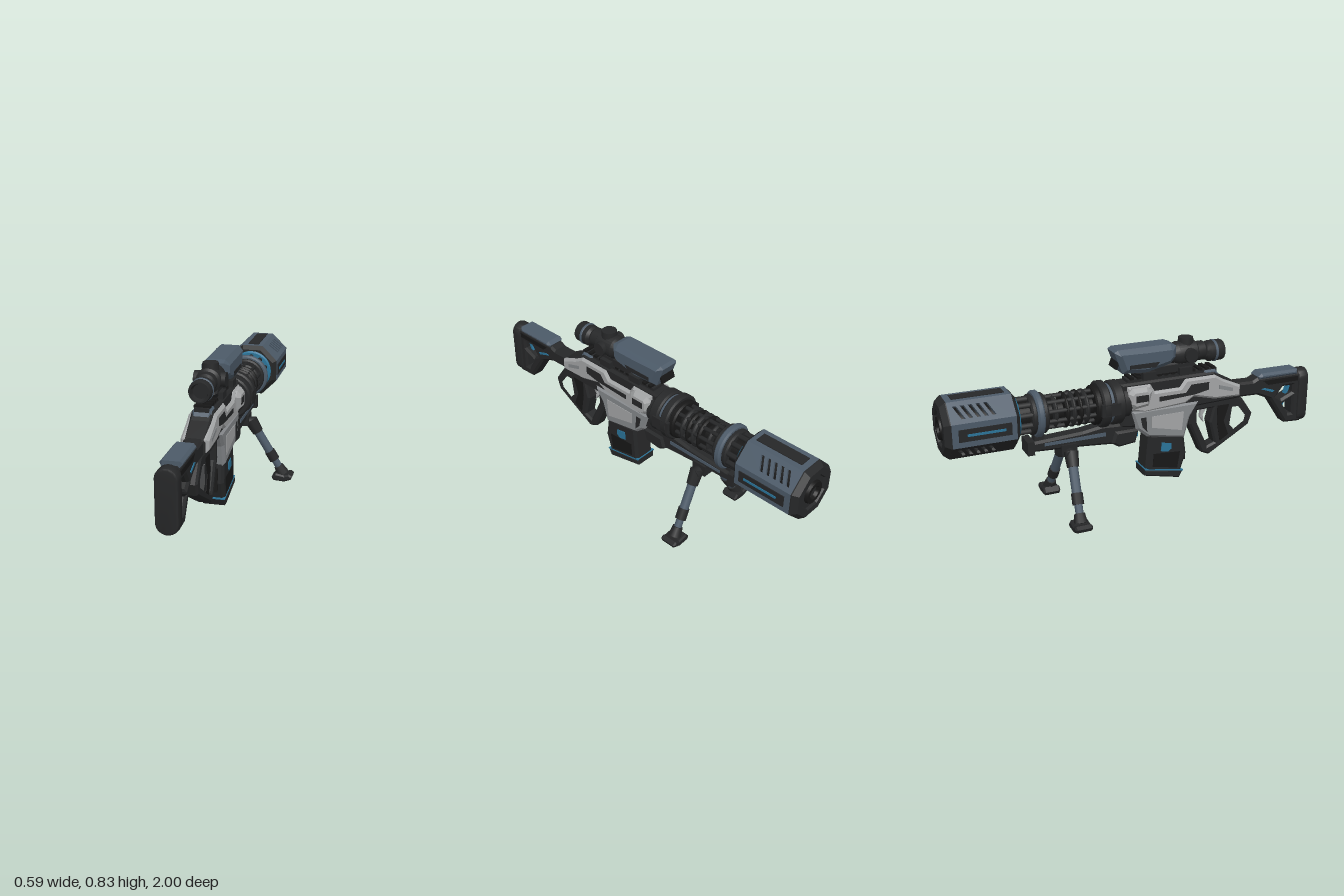
import * as THREE from 'three';
import { toCreasedNormals } from 'three/addons/utils/BufferGeometryUtils.js';

const paint = (name, color) => Object.assign(new THREE.MeshStandardMaterial({ color }), { name });
const dark = paint('charcoal', 0x262728);
const black = paint('black', 0x171717);
const slate = paint('slate blue', 0x4c5a68);
const light = paint('light grey', 0xa3a5a6);
const grey = paint('mid grey', 0x85888b);
const blue = paint('accent blue', 0x2b7499);

const AXIS = 0.545; // barrel centre height

export function createModel() {
  const root = new THREE.Group();
  root.name = 'rifle';

  const add = (name, geo, mat, parent = root) => {
    const m = new THREE.Mesh(geo, mat);
    m.name = name;
    parent.add(m);
    return m;
  };
  const box = (name, w, h, d, x, y, z, mat) => {
    const m = add(name, new THREE.BoxGeometry(w, h, d), mat);
    m.position.set(x, y, z);
    return m;
  };
  const outline = (pts, holes = []) => {
    const s = new THREE.Shape(pts.map(p => new THREE.Vector2(...p)));
    s.holes = holes.map(h => new THREE.Path(h.map(p => new THREE.Vector2(...p))));
    return s;
  };
  // Side profile in (z, y), extruded across x with chamfered edges
  const side = (name, pts, width, mat, bevel = 0.01, holes = [], x = 0) => {
    const g = new THREE.ExtrudeGeometry(outline(pts, holes), {
      depth: width - 2 * bevel, bevelEnabled: bevel > 0, bevelSize: bevel,
      bevelThickness: bevel, bevelOffset: -bevel, bevelSegments: 1,
    });
    g.translate(0, 0, bevel - width / 2).rotateY(-Math.PI / 2).translate(x, 0, 0);
    return add(name, g, mat);
  };
  const bothSides = (name, pts, x, mat) => {
    for (const s of [-1, 1]) side(name, pts, 0.006, mat, 0, [], s * x);
  };
  // Turned part along z; profile is [z, radius] from rear to muzzle
  const turned = (name, profile, mat, y = AXIS, sides = 28) => {
    const g = new THREE.LatheGeometry(profile.map(([z, r]) => new THREE.Vector2(r, -z)), sides);
    const m = add(name, toCreasedNormals(g.rotateX(-Math.PI / 2), 0.5), mat);
    m.position.y = y;
    return m;
  };
  // Chamfered closed ring
  const ring = (name, z0, z1, r, mat, y = AXIS, c = 0.008) =>
    turned(name, [[z0, 0], [z0, r - c], [z0 - c, r], [z1 + c, r], [z1, r - c], [z1, 0]], mat, y);
  const limb = (name, a, b, r0, r1, mat, sides = 10) => {
    const p = new THREE.Vector3(...a), q = new THREE.Vector3(...b);
    const m = add(name, new THREE.CylinderGeometry(r1, r0, p.distanceTo(q), sides), mat);
    m.position.copy(p).add(q).multiplyScalar(0.5);
    m.quaternion.setFromUnitVectors(new THREE.Vector3(0, 1, 0), q.sub(p).normalize());
    return m;
  };

  // Stock
  side('stock', [[0.97, 0.57], [0.69, 0.57], [0.66, 0.555], [0.5, 0.56], [0.5, 0.48], [0.69, 0.475],
    [0.77, 0.44], [0.87, 0.29], [0.97, 0.285]], 0.085, dark, 0.012,
  [[[0.91, 0.5], [0.85, 0.5], [0.81, 0.45], [0.84, 0.43], [0.91, 0.46]],
    [[0.91, 0.43], [0.85, 0.4], [0.89, 0.34], [0.91, 0.34]]]);
  bothSides('stockTrim', [[0.78, 0.48], [0.79, 0.49], [0.73, 0.51], [0.71, 0.505]], 0.043, blue);
  bothSides('stockPanel', [[0.935, 0.55], [0.72, 0.55], [0.75, 0.525], [0.935, 0.525]], 0.043, black);
  box('stockSlits', 0.03, 0.15, 0.012, 0, 0.42, 0.875, blue).rotation.x = 0.35;
  side('cheekRest', [[0.93, 0.59], [0.71, 0.592], [0.69, 0.575], [0.7, 0.56], [0.93, 0.56]], 0.1, slate, 0.012);
  // Butt pad with rounded ends
  const pad = new THREE.Shape();
  pad.absarc(0, 0.53, 0.053, 0, Math.PI);
  pad.absarc(0, 0.335, 0.053, Math.PI, Math.PI * 2);
  const padGeo = new THREE.ExtrudeGeometry(pad, {
    depth: 0.04, bevelSize: 0.01, bevelThickness: 0.01, bevelOffset: -0.01, bevelSegments: 2,
  });
  add('buttPad', toCreasedNormals(padGeo, 0.5), dark).position.z = 0.95;

  // Receiver
  side('innerBody', [[0.58, 0.48], [0.58, 0.55], [0.47, 0.61], [0.42, 0.645], [-0.1, 0.645], [-0.1, 0.42],
    [0.05, 0.4], [0.3, 0.47]], 0.105, dark);
  side('receiverShell', [[0.57, 0.555], [0.47, 0.6], [0.42, 0.63], [0.25, 0.63], [0.22, 0.59], [0.08, 0.59],
    [0.055, 0.63], [-0.07, 0.63], [-0.07, 0.51], [0.02, 0.485], [0.25, 0.5], [0.3, 0.53], [0.42, 0.5], [0.57, 0.495]],
  0.135, light, 0.012);
  side('lowerReceiver', [[0.33, 0.5], [-0.05, 0.5], [-0.02, 0.4], [0.04, 0.35], [0.25, 0.31], [0.28, 0.42]],
    0.13, grey, 0.014);
  side('frontCheek', [[0.06, 0.6], [0.03, 0.625], [-0.05, 0.625], [-0.07, 0.6], [-0.07, 0.54], [-0.04, 0.515],
    [0.04, 0.525]], 0.185, light, 0.02);
  bothSides('cheekSlot', [[0.03, 0.59], [-0.035, 0.59], [-0.035, 0.555], [0.03, 0.555]], 0.091, dark);
  bothSides('ejectionPort', [[0.38, 0.6], [0.28, 0.6], [0.25, 0.56], [0.1, 0.56], [0.1, 0.535], [0.3, 0.545],
    [0.38, 0.56]], 0.067, dark);
  bothSides('rearSlot', [[0.52, 0.55], [0.44, 0.575], [0.44, 0.555], [0.52, 0.53]], 0.067, grey);
  bothSides('lowerPanel', [[0.24, 0.46], [0.06, 0.46], [0.06, 0.4], [0.23, 0.36]], 0.0645, light);
  bothSides('lowerEdge', [[0.03, 0.46], [0.0, 0.46], [0.01, 0.41], [0.035, 0.38]], 0.0645, dark);
  box('topRail', 0.07, 0.02, 0.5, 0, 0.65, 0.19, dark);
  for (let i = 0; i < 13; i++) box('railTooth', 0.08, 0.012, 0.02, 0, 0.664, 0.42 - i * 0.038, black);
  side('rearSight', [[0.46, 0.61], [0.43, 0.655], [0.37, 0.655], [0.35, 0.62]], 0.09, slate);

  // Grip, guard and trigger
  side('gripFrame', [[0.56, 0.49], [0.6, 0.47], [0.665, 0.375], [0.645, 0.315], [0.41, 0.18], [0.365, 0.2],
    [0.29, 0.37], [0.3, 0.5]], 0.075, dark, 0.01,
  [[[0.58, 0.44], [0.63, 0.375], [0.62, 0.335], [0.55, 0.29], [0.515, 0.33], [0.53, 0.44]],
    [[0.43, 0.44], [0.335, 0.44], [0.335, 0.37], [0.4, 0.23], [0.44, 0.245], [0.41, 0.36]]]);
  bothSides('gripPanel', [[0.52, 0.45], [0.45, 0.45], [0.45, 0.36], [0.47, 0.25], [0.52, 0.28], [0.49, 0.36]], 0.037, black);
  side('trigger', [[0.4, 0.44], [0.37, 0.44], [0.365, 0.39], [0.385, 0.36], [0.38, 0.4]], 0.025, light, 0.003);

  // Magazine
  side('magazine', [[0.25, 0.33], [0.05, 0.36], [0.03, 0.14], [0.225, 0.095], [0.265, 0.22]], 0.118, dark, 0.014);
  side('magazineBase', [[0.245, 0.13], [0.025, 0.17], [0.025, 0.135], [0.225, 0.09]], 0.124, dark, 0.008);
  side('magazineTrim', [[0.245, 0.133], [0.027, 0.173], [0.026, 0.167], [0.245, 0.127]], 0.122, blue, 0);
  bothSides('magazineWindow', [[0.175, 0.295], [0.12, 0.305], [0.115, 0.26], [0.155, 0.25], [0.175, 0.265]], 0.06, blue);
  bothSides('magazinePanel', [[0.225, 0.24], [0.075, 0.25], [0.07, 0.18], [0.21, 0.15]], 0.058, black);
  const rear = box('magazineRib', 0.06, 0.12, 0.008, 0, 0.235, 0.262, black);
  rear.rotation.x = -0.1;

  // Scope
  turned('eyepiece', [[0.455, 0], [0.455, 0.035], [0.48, 0.042], [0.48, 0.05], [0.47, 0.054], [0.4, 0.054],
    [0.385, 0.042], [0.3, 0.04]], dark, 0.745);
  ring('eyepieceBand', 0.445, 0.42, 0.057, slate, 0.745);
  turned('scopeTube', [[0.385, 0.036], [0.37, 0.048], [0.33, 0.048], [0.32, 0.06], [0.22, 0.06], [0.2, 0.05],
    [0.16, 0.05]], dark, 0.755);
  const turretY = add('topTurret', new THREE.CylinderGeometry(0.038, 0.042, 0.05, 14), dark);
  turretY.position.set(0, 0.81, 0.275);
  const turretX = add('sideTurrets', new THREE.CylinderGeometry(0.035, 0.035, 0.155, 14).rotateZ(Math.PI / 2), dark);
  turretX.position.set(0, 0.755, 0.275);
  side('scopeHood', [[0.2, 0.81], [0.17, 0.822], [-0.115, 0.822], [-0.132, 0.81], [-0.09, 0.7], [0.04, 0.69],
    [0.17, 0.72], [0.2, 0.75]], 0.14, slate, 0.025);
  bothSides('hoodPanel', [[0.1, 0.745], [-0.06, 0.745], [-0.06, 0.725], [0.08, 0.72]], 0.069, dark);
  box('objectiveLens', 0.085, 0.07, 0.012, 0, 0.757, -0.11, black).rotation.x = 0.36;
  side('scopeMount', [[0.3, 0.72], [-0.04, 0.71], [-0.02, 0.68], [0.06, 0.66], [0.28, 0.66], [0.32, 0.69]], 0.08, dark);
  for (const z of [0.25, 0.05]) box('mountClamp', 0.125, 0.035, 0.07, 0, 0.675, z, dark);

  // Barrel: rings, ribs and open rods around a thin core
  ring('barrelCore', 0, -0.7, 0.048, black);
  ring('rearSleeve', -0.05, -0.11, 0.085, dark);
  ring('rearCollar', -0.095, -0.15, 0.112, dark);
  ring('rearBand', -0.145, -0.175, 0.1, slate);
  ring('rearFlange', -0.17, -0.215, 0.118, dark);
  ring('rearStep', -0.21, -0.245, 0.1, black);
  for (let i = 0; i < 4; i++) ring('coolingRib', -0.275 - i * 0.034, -0.297 - i * 0.034, 0.09, i % 2 ? black : dark);
  ring('midBand', -0.435, -0.455, 0.085, dark);
  ring('frontFlange', -0.485, -0.515, 0.1, dark);
  ring('frontBand', -0.51, -0.545, 0.115, slate);
  ring('frontStep', -0.54, -0.57, 0.1, dark);
  ring('neck', -0.56, -0.66, 0.07, black);
  for (let i = 0; i < 10; i++) {
    const a = (i + 0.5) * Math.PI / 5, c = Math.cos(a), s = Math.sin(a);
    limb('barrelRod', [c * 0.077, AXIS + s * 0.077, -0.22], [c * 0.077, AXIS + s * 0.077, -0.5], 0.011, 0.011, dark, 6);
    limb('neckRod', [c * 0.082, AXIS + s * 0.082, -0.55], [c * 0.082, AXIS + s * 0.082, -0.65], 0.014, 0.014, dark, 6);
  }
  for (const s of [-1, 1]) box('barrelLug', 0.03, 0.06, 0.1, s * 0.1, AXIS, -0.175, dark);

  // Muzzle brake: eight plates with slanted vents around a core
  ring('muzzleCore', -0.64, -0.98, 0.085, black);
  ring('muzzleBand', -0.63, -0.647, 0.112, blue);
  const A = 0.14, W = A * Math.tan(Math.PI / 8);
  const vents = [0, 1, 2, 3, 4].map(i => {
    const v = 0.105 + i * 0.036;
    return [[-0.034, v], [0.034, v + 0.03], [0.034, v + 0.048], [-0.034, v + 0.018]];
  });
  for (let k = 0; k < 8; k++) {
    const face = new THREE.Group();
    face.name = 'muzzleFace';
    face.position.set(0, AXIS, -0.645);
    face.rotation.z = -k * Math.PI / 4;
    root.add(face);
    const plate = (name, pts, y, t, mat, holes) => add(name,
      new THREE.ExtrudeGeometry(outline(pts, holes), { depth: t, bevelEnabled: false })
        .rotateX(-Math.PI / 2).translate(0, y, 0), mat, face);
    const rect = (x, v0, v1) => [[-x, v0], [x, v0], [x, v1], [-x, v1]];
    const lower = k >= 3 && k <= 5;
    plate('muzzlePlate', rect(W, 0.015, 0.32), A - 0.014, 0.014, lower ? dark : slate, k % 2 ? vents : []);
    if (k % 2 === 0) {
      plate('muzzlePanel', rect(0.03, 0.04, 0.29), A, 0.004, lower ? black : dark);
      if (!lower && k) plate('muzzleStripe', rect(0.006, 0.07, 0.25), A + 0.004, 0.003, blue);
    }
  }
  const octagon = (name, profile, mat) => {
    const g = new THREE.LatheGeometry(profile.map(([z, r]) => new THREE.Vector2(r / Math.cos(Math.PI / 8), -z)), 8, Math.PI / 8);
    add(name, toCreasedNormals(g.rotateX(-Math.PI / 2), 0.3), mat).position.y = AXIS;
  };
  octagon('muzzleRearCap', [[-0.64, 0], [-0.64, 0.118], [-0.66, A - 0.001], [-0.672, A - 0.001], [-0.672, 0]], dark);
  octagon('muzzleFrontCap', [[-0.955, 0.08], [-0.955, A - 0.001], [-0.97, A - 0.001], [-0.997, 0.118], [-0.997, 0.085],
    [-0.985, 0.08], [-0.985, 0]], dark);
  turned('bore', [[-0.98, 0.06], [-1, 0.055], [-1, 0.035], [-0.975, 0.025], [-0.975, 0]], black);

  // Under-barrel rail
  side('underRail', [[0.0, 0.43], [0.0, 0.4], [-0.02, 0.345], [-0.12, 0.33], [-0.3, 0.345], [-0.57, 0.36],
    [-0.585, 0.39], [-0.585, 0.41], [-0.3, 0.425], [-0.2, 0.44]], 0.08, dark, 0.012);
  side('railRearBlock', [[0.0, 0.4], [-0.13, 0.4], [-0.15, 0.34], [-0.11, 0.315], [-0.02, 0.325]], 0.105, dark, 0.012);
  box('railRearTrim', 0.07, 0.035, 0.012, 0, 0.37, -0.008, blue);
  box('railFrontCap', 0.1, 0.07, 0.035, 0, 0.385, -0.57, dark);
  bothSides('railStripe', [[-0.18, 0.405], [-0.5, 0.4], [-0.5, 0.385], [-0.18, 0.385]], 0.04, slate);
  for (const z of [-0.17, -0.52]) box('barrelSupport', 0.05, 0.08, 0.05, 0, 0.44, z, dark);

  // Bipod
  const Z = -0.385;
  box('bipodMount', 0.1, 0.06, 0.08, 0, 0.345, -0.375, dark);
  limb('bipodPivot', [-0.085, 0.33, -0.375], [0.085, 0.33, -0.375], 0.028, 0.028, dark, 12);
  for (const s of [-1, 1]) {
    const at = t => [s * (0.06 + 0.18 * t), 0.335 - 0.305 * t, -0.372 + (Z + 0.362) * t];
    limb('legHinge', at(-0.02), at(0.2), 0.036, 0.03, dark, 8);
    limb('legUpper', at(0.15), at(0.6), 0.024, 0.024, slate);
    limb('legCollar', at(0.56), at(0.72), 0.029, 0.029, dark);
    limb('legLower', at(0.7), at(0.95), 0.02, 0.02, slate);
    limb('legAnkle', at(0.84), at(0.98), 0.026, 0.034, dark);
    const foot = [[0.18, 0.022], [0.19, 0.004], [0.25, 0], [0.287, 0.014], [0.294, 0.032], [0.275, 0.044],
      [0.25, 0.036], [0.2, 0.045]].map(([x, y]) => [s * x, y]);
    add('foot', new THREE.ExtrudeGeometry(outline(foot), {
      depth: 0.074, bevelSize: 0.008, bevelThickness: 0.008, bevelOffset: -0.008, bevelSegments: 1,
    }), dark).position.z = -0.432;
  }
  return root;
}
